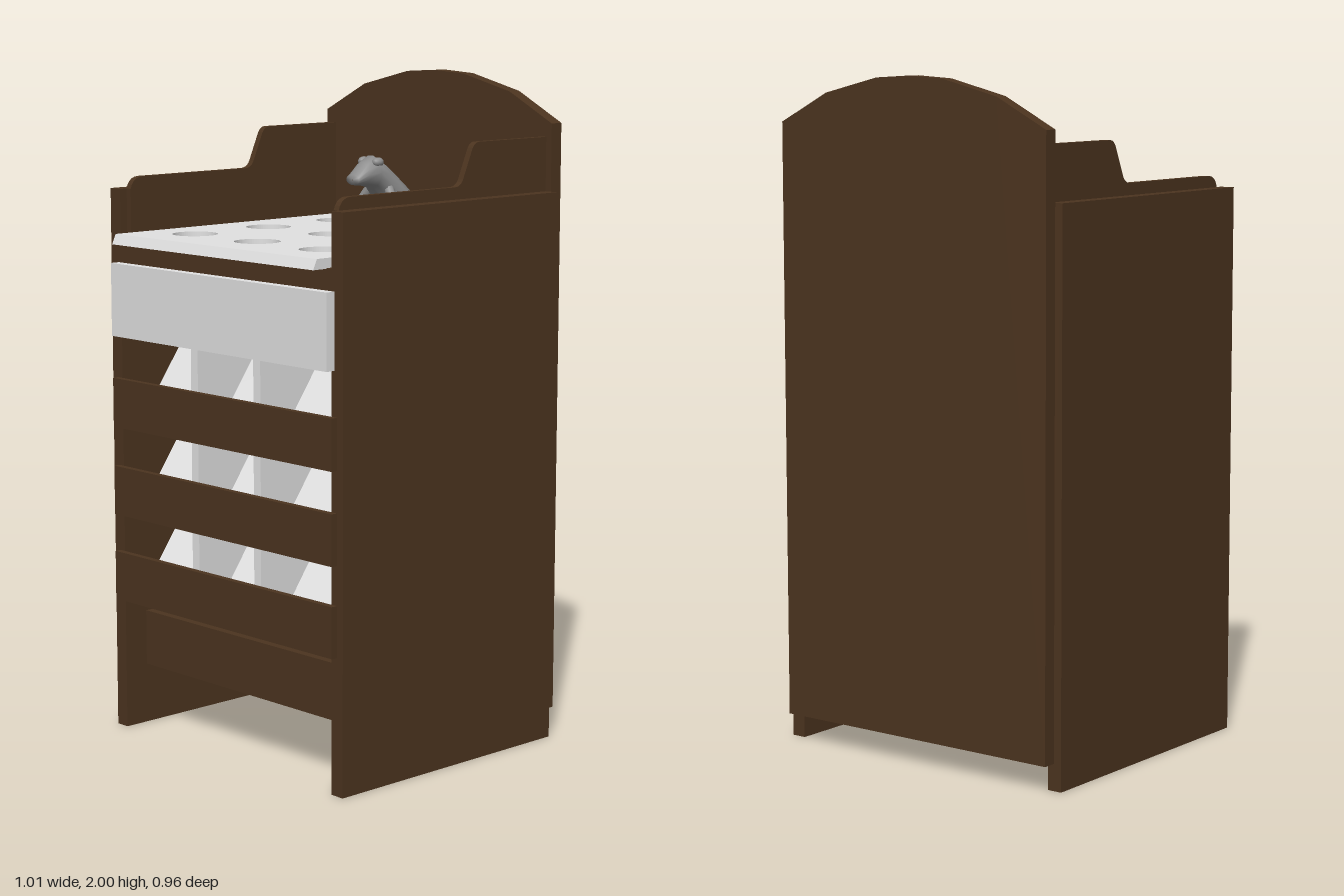
import * as THREE from 'three';

const mat = (name, color, side = THREE.FrontSide) => {
  const m = new THREE.MeshStandardMaterial({ color, side });
  m.name = name;
  return m;
};

export function createModel() {
  const model = new THREE.Group();
  model.name = 'tossGameCabinet';
  const wood = mat('dark wood', 0x4c341f);
  const pale = mat('pale grey', 0xe2e2e2, THREE.DoubleSide);
  const metal = mat('frog grey', 0x8e8e8e);

  const add = (name, geo, material, parent = model) => {
    const m = new THREE.Mesh(geo, material);
    m.name = name;
    parent.add(m);
    return m;
  };
  // Box given by its minimum and maximum on each axis
  const box = (name, material, x0, x1, y0, y1, z0, z1) =>
    add(name, new THREE.BoxGeometry(x1 - x0, y1 - y0, z1 - z0)
      .translate((x0 + x1) / 2, (y0 + y1) / 2, (z0 + z1) / 2), material);
  const outline = (pts) => new THREE.Shape(pts.map(([x, y]) => new THREE.Vector2(x, y)));

  // Arched back panel
  const arch = [[0.48, 1.86], [0.31, 1.947], [0.12, 1.993], [0, 2]];
  const backPts = [[-0.48, 0.08], [0.48, 0.08], ...arch,
    ...arch.slice(0, 3).reverse().map(([x, y]) => [-x, y])];
  add('backPanel', new THREE.ExtrudeGeometry(outline(backPts), { depth: 0.042, bevelEnabled: false })
    .translate(0, 0, -0.48), wood);

  // Side panels and the stepped rails inside them
  const rail = new THREE.Shape();
  rail.moveTo(-0.437, 1.5);
  rail.lineTo(0.405, 1.5);
  rail.lineTo(0.405, 1.66);
  rail.quadraticCurveTo(0.395, 1.695, 0.36, 1.695);
  rail.lineTo(-0.05, 1.695);
  rail.quadraticCurveTo(-0.075, 1.695, -0.085, 1.715);
  rail.lineTo(-0.12, 1.795);
  rail.quadraticCurveTo(-0.13, 1.82, -0.15, 1.82);
  rail.lineTo(-0.437, 1.82);
  for (const s of [-1, 1]) {
    const side = s > 0 ? 'left' : 'right';
    box(side + 'SidePanel', wood, s > 0 ? 0.459 : -0.504, s > 0 ? 0.504 : -0.459, 0, 1.66, -0.437, 0.43);
    add(side + 'Rail', new THREE.ExtrudeGeometry(rail, { depth: 0.02, bevelEnabled: false, curveSegments: 5 })
      .rotateY(-Math.PI / 2).translate(s * 0.45 + 0.01, 0, 0), wood);
  }

  // Playing board with nine holes and a sloped front edge, on a wooden base board
  const board = outline([[-0.438, -0.466], [0.438, -0.466], [0.438, 0.437], [-0.438, 0.437]]);
  for (const x of [-0.277, 0, 0.277]) for (const z of [-0.293, 0, 0.293]) {
    const hole = new THREE.Path();
    hole.absarc(x, z, 0.068, 0, Math.PI * 2, true);
    board.holes.push(hole);
  }
  const boardGeo = new THREE.ExtrudeGeometry(board, { depth: 0.03, bevelEnabled: false, curveSegments: 32 })
    .rotateX(-Math.PI / 2);
  const p = boardGeo.attributes.position;
  for (let i = 0; i < p.count; i++) {
    if (p.getZ(i) > 0.46 && p.getY(i) < 0.01) p.setZ(i, 0.48);
  }
  boardGeo.computeVertexNormals();
  add('playingBoard', boardGeo.translate(0, 1.5, 0), pale);
  box('underBoard', wood, -0.459, 0.459, 1.44, 1.502, -0.437, 0.43);

  // Front panel and slats, each slat with a sloping tray set back behind it
  box('frontPanel', pale, -0.47, 0.47, 1.22, 1.44, 0.43, 0.46);
  for (const y of [0.405, 0.67, 0.94]) {
    box('frontSlat', wood, -0.48, 0.48, y, y + 0.15, 0.43, 0.45);
    add('slopingTray', new THREE.PlaneGeometry(0.918, Math.hypot(0.28, 0.39))
      .rotateX(-Math.atan2(0.28, 0.39)).translate(0, y + 0.205, 0.22), pale);
  }
  for (const x of [-0.137, 0.137]) box('trayDivider', pale, x - 0.015, x + 0.015, 0.42, 1.34, 0.08, 0.42);

  // Raised base, open below
  box('base', wood, -0.459, 0.459, 0.185, 0.355, -0.437, 0.35);

  // Sitting frog: body lofted along z from [z, y, half width, half height]
  const frog = new THREE.Group();
  frog.name = 'frog';
  model.add(frog);
  const rings = [
    [-0.345, 1.56, 0.002, 0.002], [-0.338, 1.562, 0.05, 0.03], [-0.295, 1.592, 0.07, 0.06],
    [-0.24, 1.635, 0.06, 0.068], [-0.2, 1.675, 0.052, 0.06], [-0.165, 1.705, 0.048, 0.05],
    [-0.13, 1.7, 0.036, 0.036], [-0.09, 1.685, 0.028, 0.016], [-0.088, 1.685, 0.001, 0.001]];
  const n = 14, pos = [], idx = [];
  rings.forEach(([z, y, rx, ry], i) => {
    for (let j = 0; j < n; j++) {
      const a = (j / n) * Math.PI * 2;
      pos.push(Math.cos(a) * rx, y + Math.sin(a) * ry, z);
      if (i < rings.length - 1) {
        const A = i * n + j, B = i * n + (j + 1) % n;
        idx.push(A, B, A + n, B, B + n, A + n);
      }
    }
  });
  const body = new THREE.BufferGeometry();
  body.setAttribute('position', new THREE.Float32BufferAttribute(pos, 3));
  body.setIndex(idx);
  body.computeVertexNormals();
  add('frogBody', body, metal, frog);

  // Legs, feet and eyes, mirrored
  const blob = (name, x, y, z, rx, ry, rz) =>
    add(name, new THREE.SphereGeometry(1, 12, 8).scale(rx, ry, rz).translate(x, y, z), metal, frog);
  for (const s of [-1, 1]) {
    blob('frogThigh', s * 0.067, 1.58, -0.292, 0.042, 0.052, 0.066);
    blob('frogHindFoot', s * 0.076, 1.542, -0.2, 0.026, 0.012, 0.028);
    const arm = new THREE.CatmullRomCurve3([[0.035, 1.66, -0.205], [0.066, 1.61, -0.19], [0.064, 1.54, -0.155]]
      .map(([x, y, z]) => new THREE.Vector3(s * x, y, z)));
    add('frogFrontLeg', new THREE.TubeGeometry(arm, 8, 0.016, 8), metal, frog);
    blob('frogFrontFoot', s * 0.066, 1.54, -0.152, 0.022, 0.011, 0.022);
    blob('frogEye', s * 0.03, 1.735, -0.165, 0.016, 0.015, 0.02);
  }
  return model;
}
